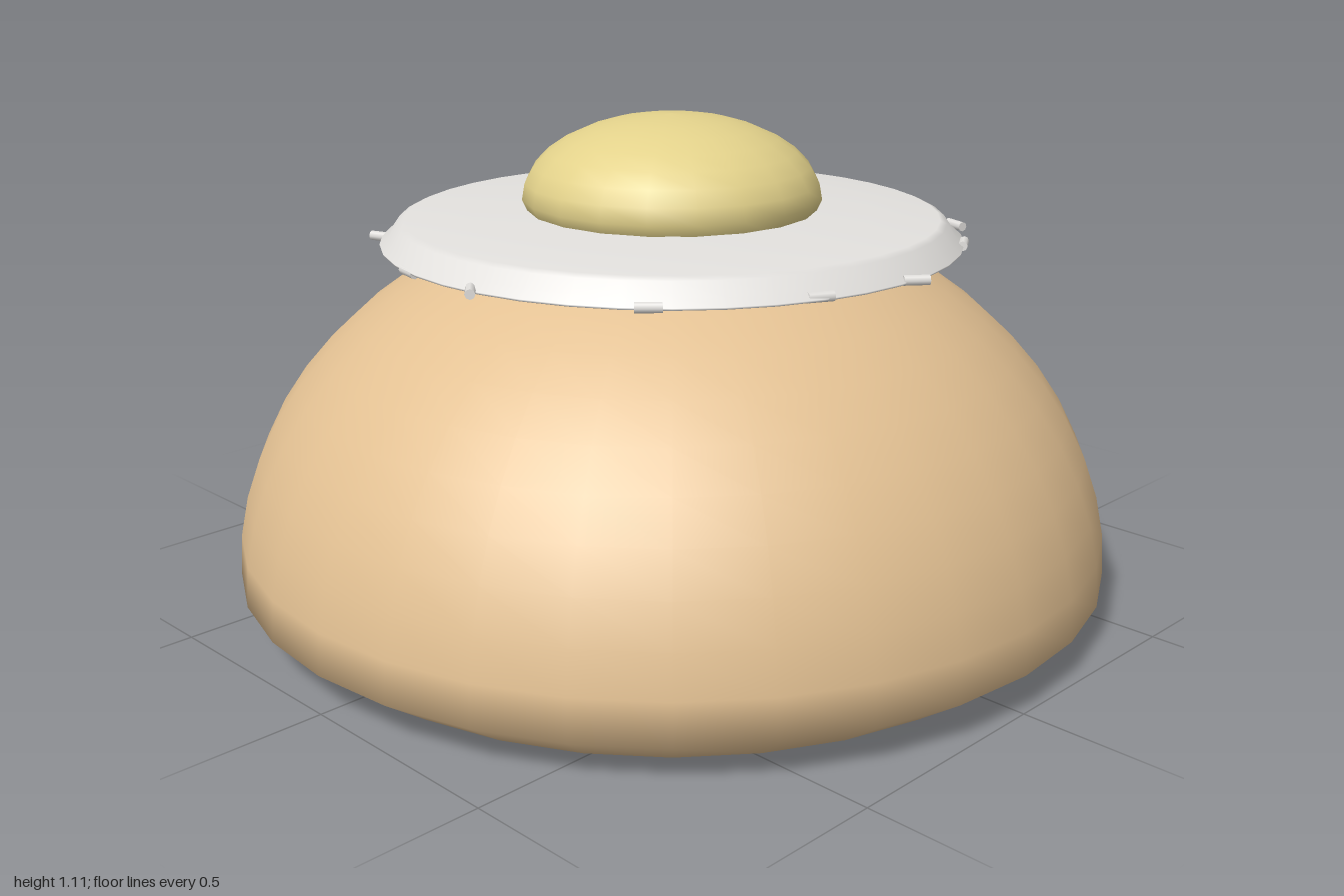
import * as THREE from 'three';

const mat = (name, color) => {
  const m = new THREE.MeshStandardMaterial({ color });
  m.name = name;
  return m;
};

function lathe(name, points, segments, material) {
  const pts = points.map(([r, y]) => new THREE.Vector2(r, y));
  const mesh = new THREE.Mesh(new THREE.LatheGeometry(pts, segments), material);
  mesh.name = name;
  return mesh;
}

// Quarter ellipse from the rim up to the pole
const arc = (radius, baseY, height, steps) =>
  Array.from({ length: steps + 1 }, (_, i) => {
    const a = (i / steps) * Math.PI / 2;
    return [i === steps ? 0 : radius * Math.cos(a), baseY + height * Math.sin(a)];
  });

export function createModel() {
  const model = new THREE.Group();
  model.name = 'domeWithEgg';
  const tan = mat('warm tan', 0xe3c193);
  const white = mat('soft white', 0xe3e1de);
  const yellow = mat('pale yellow', 0xe3d28b);

  // Rounded body with a chamfered flat base
  model.add(lathe('body', [[0, 0], [0.88, 0], ...arc(1, 0.085, 0.815, 14)], 32, tan));

  // Thin disc with a sloping rim
  model.add(lathe('disc', [
    [0, 0.825], [0.652, 0.825], [0.655, 0.83], [0.635, 0.845],
    [0.615, 0.874], [0.6, 0.881], [0.45, 0.89], [0.25, 0.9], [0, 0.905],
  ], 40, white));

  // Flattened dome on top
  model.add(lathe('yolk', [[0, 0.87], [0.32, 0.88], ...arc(0.338, 0.92, 0.185, 8)], 20, yellow));

  // Small grains around the rim: x, z, heading in the ground plane
  const grains = [
    [0.02, -0.657, 0.1], [-0.33, -0.555, -0.6], [0.38, -0.557, 0.3], [0.53, -0.38, 1.0],
    [-0.51, -0.43, 1.5], [-0.57, -0.29, -1.0], [-0.64, -0.08, 1.6], [0.66, -0.04, -0.9],
    [-0.665, 0.15, -0.35], [0.61, 0.2, -1.1], [-0.465, 0.465, -0.3], [0.43, 0.495, -0.8],
    [-0.15, 0.625, 0.2], [0.09, 0.655, 0.7],
  ];
  const grainGeometry = new THREE.CylinderGeometry(0.011, 0.011, 0.055, 8).rotateZ(Math.PI / 2);
  const rim = new THREE.Group();
  rim.name = 'rimGrains';
  grains.forEach(([x, z, heading], i) => {
    const grain = new THREE.Mesh(grainGeometry, white);
    grain.name = `grain${i + 1}`;
    grain.position.set(x, i % 2 ? 0.832 : 0.825, z);
    grain.rotation.y = -heading;
    rim.add(grain);
  });
  model.add(rim);

  return model;
}
